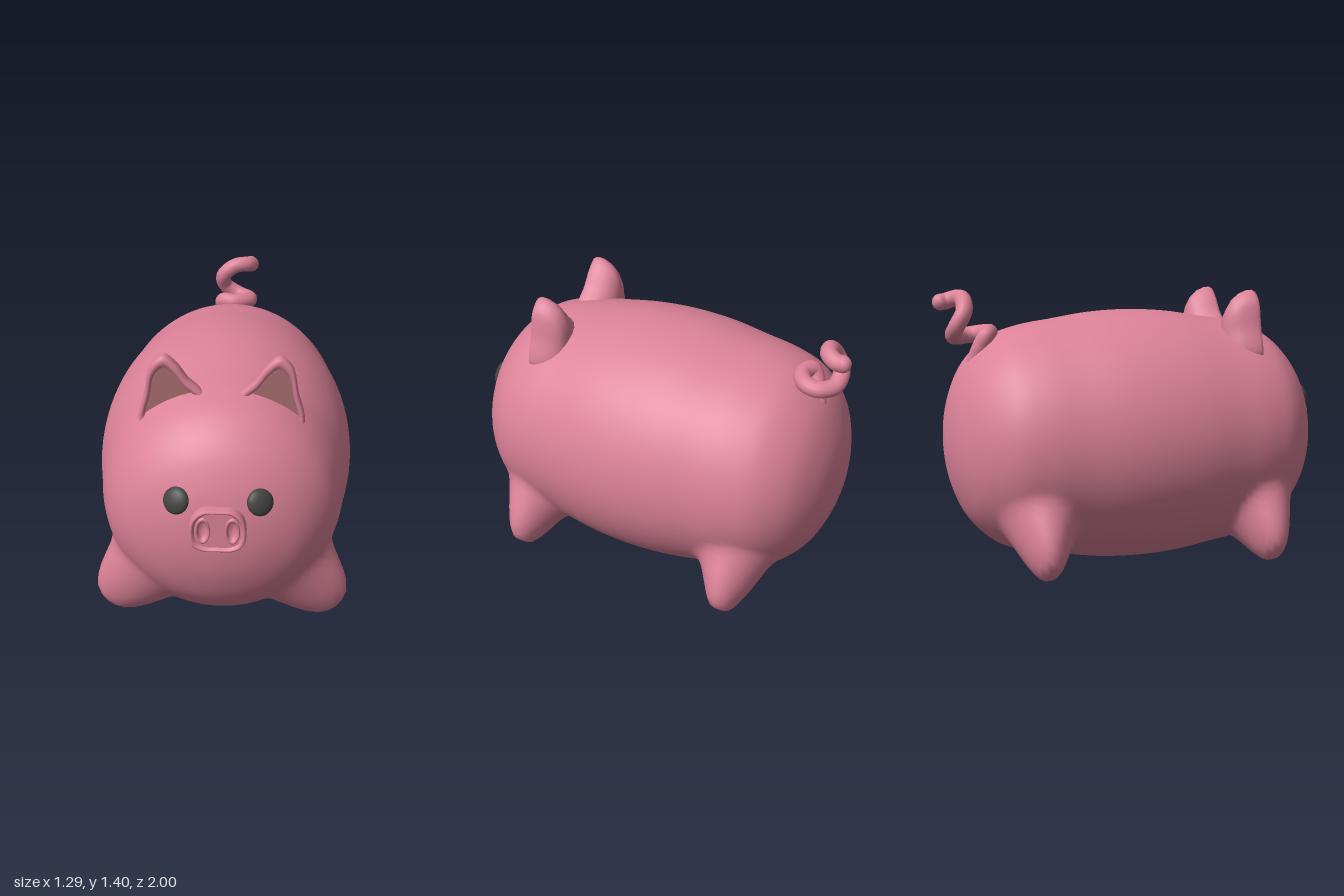
import * as THREE from 'three';

const mat = (name, color, side = THREE.FrontSide) => {
  const m = new THREE.MeshStandardMaterial({ color, side });
  m.name = name;
  return m;
};

// Skin closed rings of [x, y, z] points, ordered front to back, each counter-clockwise from the front
function loft(rings) {
  const n = rings[0].length, index = [];
  for (let i = 0; i < rings.length - 1; i++) {
    for (let j = 0; j < n; j++) {
      const a = i * n + j, b = i * n + (j + 1) % n;
      index.push(a, a + n, b, b, a + n, b + n);
    }
  }
  const g = new THREE.BufferGeometry();
  g.setAttribute('position', new THREE.Float32BufferAttribute(rings.flat(2), 3));
  g.setIndex(index);
  g.computeVertexNormals();
  return g;
}

// Rings made by scaling one outline about a centre; rows are [scale, z]
const scaledRings = (outline, [cx, cy], rows) => rows.map(([s, z]) =>
  outline.map(p => [cx + (p.x - cx) * s, cy + (p.y - cy) * s, z]));

const closedCurve = (pts, n) => new THREE.CatmullRomCurve3(
  pts.map(([x, y]) => new THREE.Vector3(x, y, 0)), true).getPoints(n).slice(0, n);

const flatShape = pts => new THREE.Shape(pts.map(p => new THREE.Vector2(p.x, p.y)));

export function createModel() {
  const pink = mat('pink skin', 0xdc8298);
  const inner = mat('inner ear', 0xa86e70, THREE.DoubleSide);
  const dark = mat('eye grey', 0x424242);
  const root = new THREE.Group();
  root.name = 'pig';
  const add = (name, geometry, material, parent = root) => {
    const m = new THREE.Mesh(geometry, material);
    m.name = name;
    parent.add(m);
    return m;
  };

  // Body: barrel along z, with four stubby legs pulled out of the surface
  const half = [[0.965, 0.001], [0.955, 0.12], [0.925, 0.25], [0.85, 0.405], [0.72, 0.525],
    [0.58, 0.575], [0.4, 0.605], [0.2, 0.635]];
  const profile = [...half, [0, 0.645], ...half.map(([z, r]) => [-z, r]).reverse()];
  const curve = new THREE.CatmullRomCurve3(profile.map(([z, r]) => new THREE.Vector3(r, 0, z)));
  const rings = curve.getSpacedPoints(110).map(p => {
    const ring = [];
    for (let j = 0; j < 112; j++) {
      const a = j / 112 * Math.PI * 2, z = p.z;
      const c = Math.cos(a), s = Math.sin(a);
      const legAngle = Math.atan2(-s, Math.abs(c)) - Math.PI / 4;
      const d = Math.hypot(legAngle * 0.57, (Math.abs(z) - 0.59) * 1.25);
      const k = 1 - THREE.MathUtils.smoothstep(d, 0.03, 0.25);
      const r = THREE.MathUtils.lerp(p.x, 0.815, k);
      ring.push([c * r, 0.653 + s * r, z]);
    }
    return ring;
  });
  add('body', loft(rings), pink);

  // Ears: domed shells with a raised rim and a darker hollow
  const earPts = [[0.385, 1.06], [0.36, 1.22], [0.33, 1.35], [0.27, 1.4], [0.21, 1.355],
    [0.155, 1.28], [0.075, 1.19], [0.2, 1.04]];
  const earRows = [[0.77, 0.565], [0.79, 0.585], [0.83, 0.597], [0.9, 0.6], [0.97, 0.597], [1, 0.58],
    [0.99, 0.55], [0.93, 0.51], [0.82, 0.475], [0.65, 0.448], [0.4, 0.435], [0.001, 0.43]];
  for (const side of [1, -1]) {
    const ear = new THREE.Group();
    ear.name = side > 0 ? 'leftEar' : 'rightEar';
    root.add(ear);
    const pts = earPts.map(([x, y]) => [x * side, y]);
    if (side < 0) pts.reverse();
    const outline = closedCurve(pts, 56), centre = [0.25 * side, 1.13];
    add('earShell', loft(scaledRings(outline, centre, earRows)), pink, ear);
    const hollow = closedCurve(pts, 56).map(p => ({
      x: centre[0] + (p.x - centre[0]) * 0.79, y: centre[1] + (p.y - centre[1]) * 0.79 }));
    add('earHollow', new THREE.ShapeGeometry(flatShape(hollow)), inner, ear).position.z = 0.572;

    // Eyes: flattened balls lying on the face
    const eye = add(side > 0 ? 'leftEye' : 'rightEye', new THREE.SphereGeometry(1, 28, 18), dark);
    eye.scale.set(0.064, 0.064, 0.03);
    eye.position.set(0.192 * side, 0.832, 0.925);
    eye.lookAt(0.192 * side + 0.42 * side, 0.832 + 0.38, 0.925 + 0.9);
  }

  // Snout: rimmed disc with two hollow nostrils
  const snout = new THREE.Group();
  snout.name = 'snout';
  root.add(snout);
  const snoutOutline = closedCurve([[0.132, 0.69], [0.118, 0.77], [0.07, 0.812], [0, 0.816], [-0.07, 0.812],
    [-0.118, 0.77], [-0.132, 0.69], [-0.115, 0.63], [-0.07, 0.606], [0, 0.604], [0.07, 0.606], [0.115, 0.63]], 60);
  const mid = [0, 0.71];
  add('snoutRim', loft(scaledRings(snoutOutline, mid,
    [[0.8, 0.984], [0.84, 0.99], [0.88, 0.998], [0.93, 1], [0.98, 0.996], [1, 0.985], [1, 0.95], [0.99, 0.9]])), pink, snout);
  const plate = flatShape(snoutOutline.map(p => ({ x: p.x * 0.84, y: mid[1] + (p.y - mid[1]) * 0.84 })));
  for (const x of [0.068, -0.068]) {
    const hole = new THREE.Path();
    hole.absellipse(x, 0.71, 0.028, 0.056, 0, Math.PI * 2, true);
    plate.holes.push(hole);
    const oval = [];
    for (let j = 0; j < 32; j++) {
      const a = j / 32 * Math.PI * 2;
      oval.push({ x: x + Math.cos(a) * 0.029, y: 0.71 + Math.sin(a) * 0.057 });
    }
    add('nostril', loft(scaledRings(oval, [x, 0.71],
      [[0.001, 0.969], [0.55, 0.97], [0.75, 0.978], [0.88, 0.99], [1, 0.995], [1.12, 0.992], [1.22, 0.984]])), pink, snout);
  }
  add('snoutFace', new THREE.ShapeGeometry(plate, 24), pink, snout).position.z = 0.986;

  // Curly tail
  const tailPath = new THREE.CatmullRomCurve3([[0, 1.03, -0.82], [-0.045, 1.13, -0.79], [-0.055, 1.19, -0.76],
    [0.01, 1.195, -0.735], [0.085, 1.185, -0.78], [0.09, 1.175, -0.85], [0.03, 1.18, -0.91],
    [-0.045, 1.23, -0.91], [-0.055, 1.3, -0.875], [0.01, 1.36, -0.865], [0.075, 1.365, -0.885],
    [0.1, 1.35, -0.93], [0.095, 1.345, -0.96]].map(p => new THREE.Vector3(...p)));
  add('tail', new THREE.TubeGeometry(tailPath, 90, 0.042, 14), pink);
  add('tailTip', new THREE.SphereGeometry(0.042, 16, 12), pink).position.copy(tailPath.getPoint(1));

  return root;
}
